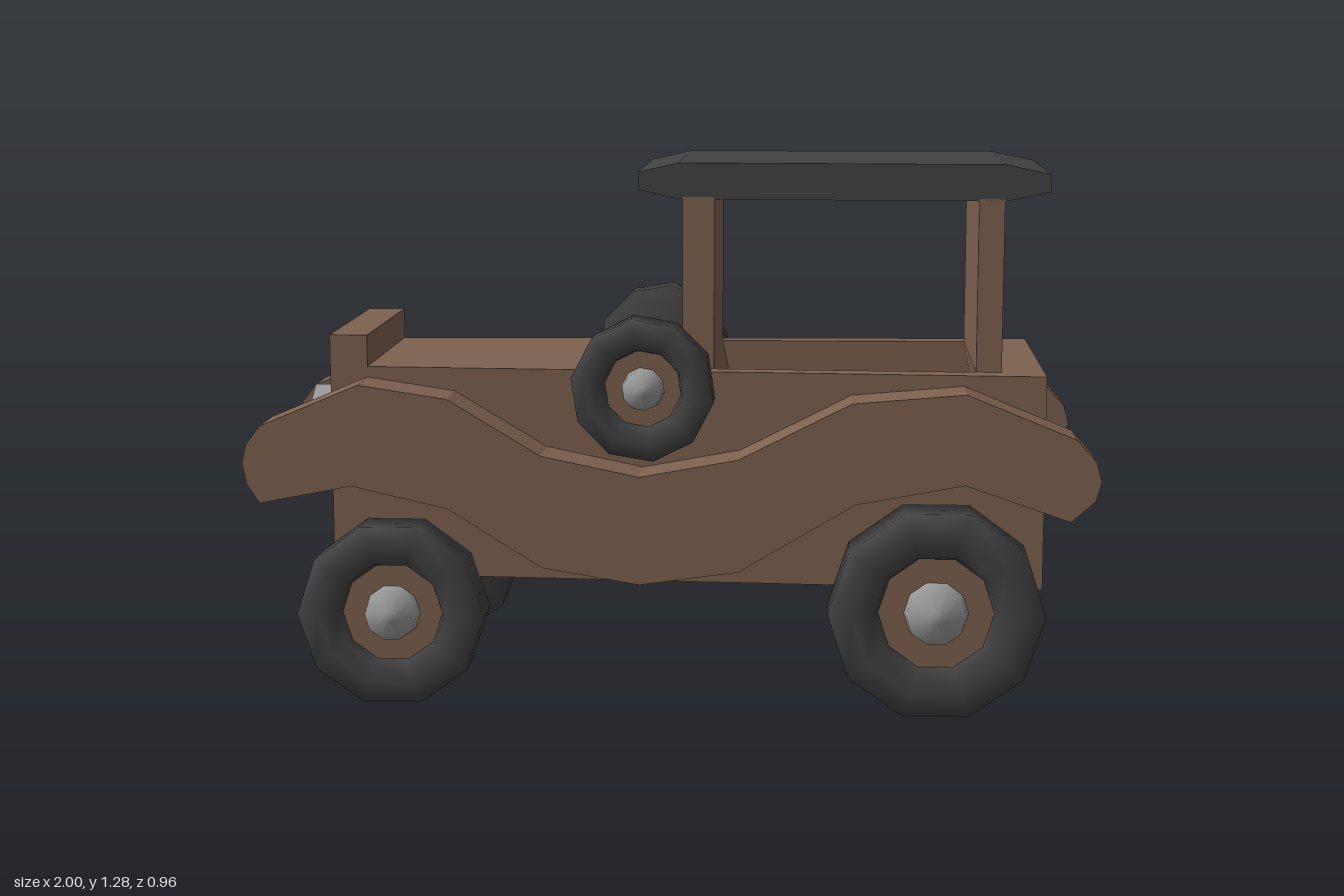
import * as THREE from 'three';

const mat = (name, color) => {
  const m = new THREE.MeshStandardMaterial({ color });
  m.name = name;
  return m;
};

export function createModel() {
  const car = new THREE.Group();
  car.name = 'toyCar';
  const wood = mat('brown wood', 0x7d614f);
  const black = mat('charcoal', 0x424242);
  const metal = mat('light grey', 0x9c9c9c);

  const add = (parent, name, geo, material) => {
    const mesh = new THREE.Mesh(geo, material);
    mesh.name = name;
    parent.add(mesh);
    return mesh;
  };

  // Half widths widen from the nose (-x) to the tail (+x)
  const bodyHalf = x => 0.262 + 0.0462 * (x + 0.81);
  const coreHalf = x => 0.2475 + 0.031 * (x + 0.075);
  const fenderOuter = x => 0.387 + 0.0455 * (x + 1);
  const fenderInner = x => fenderOuter(x) - 0.137;

  // Plank with a side profile whose two faces follow z = near(x) and z = far(x)
  const plank = (points, near, far) => {
    const shape = new THREE.Shape(points.map(p => new THREE.Vector2(p[0], p[1])));
    const geo = new THREE.ExtrudeGeometry(shape, { depth: 1, bevelEnabled: false });
    const pos = geo.attributes.position;
    for (let i = 0; i < pos.count; i++) {
      const x = pos.getX(i);
      pos.setZ(i, near(x) + (far(x) - near(x)) * pos.getZ(i));
    }
    geo.computeVertexNormals();
    return geo;
  };
  const centred = (points, half) => plank(points, x => -half(x), half);
  const rect = (x0, y0, x1, y1) => [[x0, y0], [x1, y0], [x1, y1], [x0, y1]];

  // Core with a hollow cockpit and the two cabin walls
  add(car, 'bodyCoreAndCabinWalls', centred([
    [-0.81, 0.29], [0.88, 0.29], [0.88, 0.795], [0.78, 0.795], [0.78, 1.2], [0.72, 1.2],
    [0.72, 0.795], [0.8, 0.42], [0.18, 0.42], [0.105, 0.795], [0.105, 1.2], [0.03, 1.2],
    [0.03, 0.795], [-0.81, 0.795],
  ], coreHalf), wood);

  add(car, 'radiatorCap', centred(rect(-0.81, 0.795, -0.72, 0.87), bodyHalf), wood);

  add(car, 'roof', centred([
    [0.02, 1.195], [0.78, 1.195], [0.885, 1.217], [0.885, 1.258],
    [0.78, 1.28], [0.02, 1.28], [-0.075, 1.258], [-0.075, 1.217],
  ], coreHalf), black);

  // Wavy running board and mudguards
  const fender = [
    [-0.96, 0.485], [-0.74, 0.53], [-0.51, 0.48], [-0.29, 0.345], [-0.06, 0.31], [0.17, 0.345],
    [0.44, 0.51], [0.69, 0.56], [0.93, 0.48], [0.985, 0.53], [0.997, 0.575], [0.985, 0.62],
    [0.94, 0.67], [0.69, 0.77], [0.43, 0.745], [0.17, 0.61], [-0.06, 0.565], [-0.29, 0.61],
    [-0.51, 0.74], [-0.72, 0.77], [-0.955, 0.67], [-0.99, 0.625], [-1, 0.58], [-0.99, 0.53],
  ];

  // Ten-sided wheel: solid back, recessed wooden disc and pointed hub
  const addWheel = (name, side, x, y, z, R, w, start) => {
    const wheel = new THREE.Group();
    wheel.name = name;
    const turned = pts => new THREE.LatheGeometry(
      pts.map(p => new THREE.Vector2(p[0], p[1])), 10, start).rotateX(side * Math.PI / 2);
    add(wheel, 'tyre', turned([
      [0, 0], [R, 0], [R, w], [0.78 * R, w], [0.57 * R, w], [0.53 * R, w - 0.035],
    ]), black);
    add(wheel, 'wheelDisc', turned([[0.54 * R, w - 0.03], [0, w - 0.03]]), wood);
    add(wheel, 'hub', turned([
      [0.3 * R, w - 0.032], [0.28 * R, w], [0.06 * R, w + 0.09 * R], [0, w + 0.09 * R],
    ]), metal);
    wheel.position.set(x, y, side * z);
    car.add(wheel);
  };

  for (const side of [1, -1]) {
    const s = side > 0 ? 'left' : 'right';
    const slab = (points, inner, outer) => side > 0
      ? plank(points, inner, outer)
      : plank(points, x => -outer(x), x => -inner(x));
    add(car, s + 'BodySide', slab(rect(-0.81, 0.29, 0.88, 0.795), coreHalf, bodyHalf), wood);
    add(car, s + 'Fender', slab(fender, fenderInner, fenderOuter), wood);

    addWheel(s + 'RearWheel', side, 0.63, 0.25, 0.33, 0.252, 0.12, Math.PI / 2);
    addWheel(s + 'FrontWheel', side, -0.655, 0.217, 0.272, 0.223, 0.11, Math.PI / 2);
    addWheel(s + 'SpareWheel', side, -0.055, 0.763, 0.315, 0.168, 0.085, 0.15);

    // Six-sided headlight
    const lamp = new THREE.CylinderGeometry(0.092, 0.092, 0.07, 6, 1, false, Math.PI / 2)
      .rotateZ(Math.PI / 2).toNonIndexed();
    lamp.computeVertexNormals();
    add(car, s + 'Headlight', lamp, metal).position.set(-0.837, 0.64, side * 0.135);
  }

  // Axles
  for (const [name, x, y, half] of [['rearAxle', 0.63, 0.247, 0.335], ['frontAxle', -0.655, 0.217, 0.28]]) {
    const axle = new THREE.CylinderGeometry(0.036, 0.036, half * 2, 12).rotateX(Math.PI / 2);
    add(car, name, axle, metal).position.set(x, y, 0);
  }

  return car;
}
